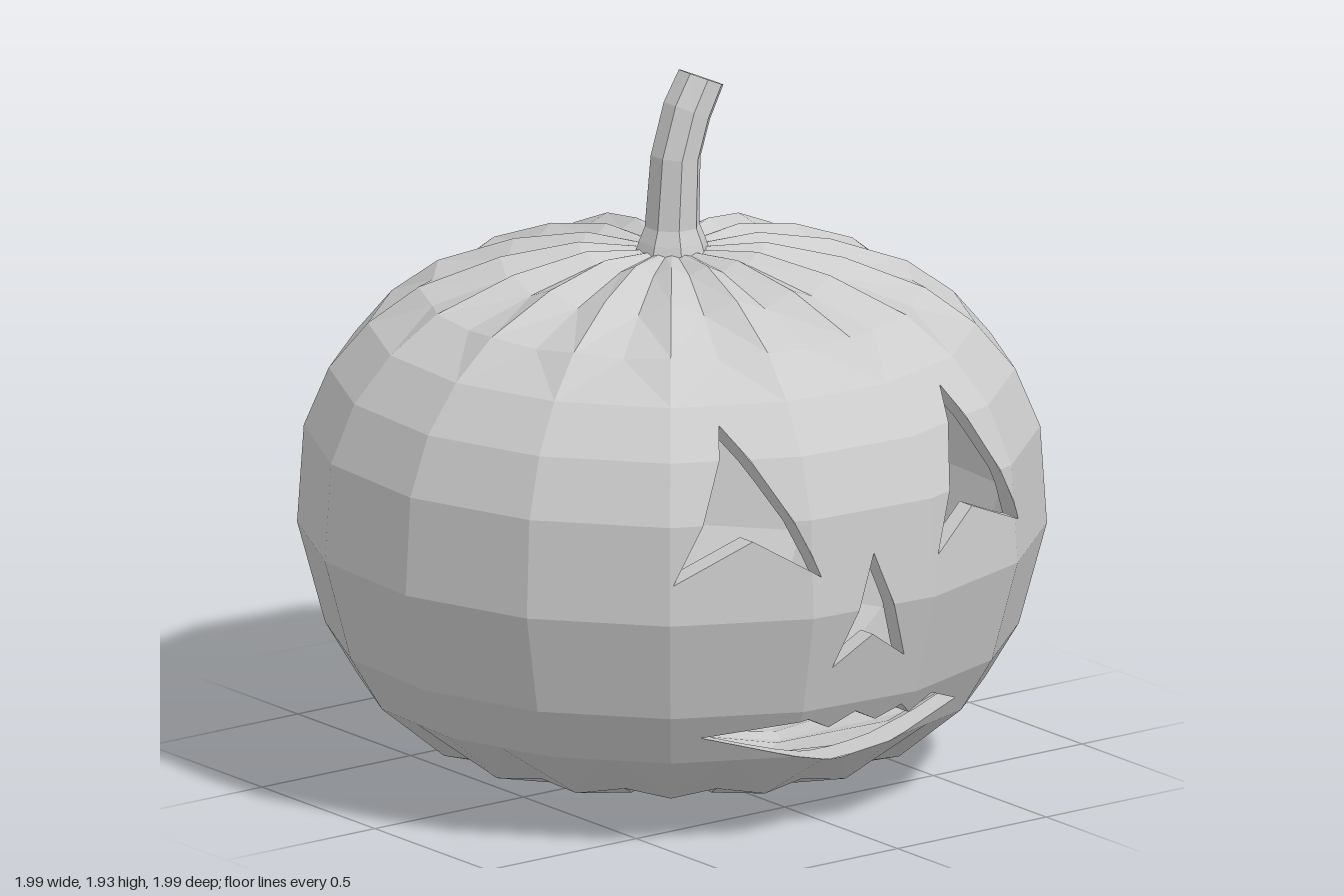
import * as THREE from 'three';

const SIDES = 32; // 16 flat sides, each with a groove vertex at its middle

// Rings from bottom to top: [radius, y, groove radius factor, groove y shift]
const OUTER = [
  [0, 0.03, 1, 0], [0.28, 0, 1, 0.035], [0.66, 0.1, 0.97, 0.015], [0.84, 0.25, 1, 0], [0.93, 0.4, 1, 0],
  [1.005, 0.68, 1, 0], [0.987, 0.95, 1, 0], [0.92, 1.11, 1, 0], [0.815, 1.235, 1, 0],
  [0.68, 1.335, 0.98, -0.015], [0.46, 1.42, 1, -0.035], [0.25, 1.462, 1, -0.025], [0.09, 1.45, 1, -0.005], [0, 1.45, 1, 0],
];
const INNER = [
  [0, 0.09, 1, 0], [0.29, 0.07, 1, 0.01], [0.62, 0.15, 0.97, 0.01], [0.79, 0.28, 1, 0], [0.88, 0.42, 1, 0],
  [0.95, 0.68, 1, 0], [0.935, 0.94, 1, 0], [0.87, 1.08, 1, 0], [0.77, 1.19, 1, 0],
  [0.64, 1.28, 0.98, -0.01], [0.44, 1.36, 1, -0.025], [0.25, 1.395, 1, -0.02], [0, 1.39, 1, 0],
];

// Face openings as [z, y] outlines; the first point sees all the others
const HOLES = {
  leftEye: [[-0.31, 1.19], [-0.53, 0.79], [-0.31, 0.885], [-0.15, 0.79]],
  rightEye: [[0.4, 1.19], [0.6, 0.79], [0.4, 0.9], [0.23, 0.79]],
  nose: [[0.06, 0.83], [0.17, 0.52], [0.055, 0.6], [-0.06, 0.52]],
  mouth: [[0.04, 0.2], [0.465, 0.33], [0.21, 0.37], [0.13, 0.33], [0.06, 0.37],
    [-0.02, 0.33], [-0.09, 0.365], [-0.13, 0.33], [-0.21, 0.37], [-0.355, 0.31]],
};

function ringPoint([r, y, gr, gy], j) {
  const mid = j % 2 === 1;
  const a = THREE.MathUtils.degToRad(15 + j * 11.25);
  const rr = mid ? r * Math.cos(Math.PI / 16) * gr : r;
  return new THREE.Vector3(rr * Math.cos(a), y + (mid ? gy : 0), rr * Math.sin(a));
}

// Triangles of a closed shell of rings
function shellTriangles(rings, inward) {
  const tris = [];
  const add = (a, b, c) => tris.push(inward ? [a, c, b] : [a, b, c]);
  for (let i = 0; i < rings.length - 1; i++) {
    for (let j = 0; j < SIDES; j++) {
      const k = (j + 1) % SIDES;
      const A = ringPoint(rings[i], j), B = ringPoint(rings[i], k);
      const C = ringPoint(rings[i + 1], k), D = ringPoint(rings[i + 1], j);
      if (rings[i][0] === 0) add(A, D, C);
      else if (rings[i + 1][0] === 0) add(A, D, B);
      else if (j % 2) { add(A, D, B); add(B, D, C); }
      else { add(A, D, C); add(A, C, B); }
    }
  }
  return tris;
}

const cross = (p, q, z, y) => (q[0] - p[0]) * (y - p[1]) - (q[1] - p[1]) * (z - p[0]);
const onFace = (t) => t.every((p) => p.x > 0.2);

// Keeps the part of a polygon on one side of a line in the z-y plane
function clip(poly, p, q, sign) {
  const out = [];
  poly.forEach((a, i) => {
    const b = poly[(i + 1) % poly.length];
    const da = sign * cross(p, q, a.z, a.y), db = sign * cross(p, q, b.z, b.y);
    if (da >= 0) out.push(a);
    if (da * db < 0) out.push(a.clone().lerp(b, da / (da - db)));
  });
  return out;
}

// Removes a triangle from a polygon, leaving convex pieces
function subtract(poly, tri) {
  const t = cross(tri[0], tri[1], ...tri[2]) > 0 ? tri : [tri[0], tri[2], tri[1]];
  const pieces = [];
  let rest = poly;
  for (let i = 0; i < 3 && rest.length > 2; i++) {
    const p = t[i], q = t[(i + 1) % 3];
    const outside = clip(rest, p, q, -1);
    if (outside.length > 2) pieces.push(outside);
    rest = clip(rest, p, q, 1);
  }
  return rest.length > 2 ? pieces : [poly];
}

function carve(tris) {
  const cutters = Object.values(HOLES).flatMap((h) =>
    h.slice(1, -1).map((p, i) => [h[0], p, h[i + 2]]));
  return tris.flatMap((t) => {
    if (!onFace(t)) return [t];
    let pieces = [t];
    for (const c of cutters) pieces = pieces.flatMap((p) => subtract(p, c));
    return pieces;
  });
}

// Point of a shell in front of a given z, y
function project(tris, z, y) {
  let best = null, bestMin = -Infinity;
  for (const [a, b, c] of tris) {
    const A = [a.z, a.y], B = [b.z, b.y], C = [c.z, c.y];
    const area = cross(A, B, ...C);
    if (Math.abs(area) < 1e-9) continue;
    const u = cross(B, C, z, y) / area, v = cross(C, A, z, y) / area, w = 1 - u - v;
    const m = Math.min(u, v, w);
    if (m > bestMin) {
      bestMin = m;
      best = new THREE.Vector3(u * a.x + v * b.x + w * c.x, y, z);
    }
  }
  return best;
}

function polygonsToMesh(polys, name, material) {
  const points = [];
  for (const p of polys) for (let i = 1; i < p.length - 1; i++) points.push(p[0], p[i], p[i + 1]);
  const geometry = new THREE.BufferGeometry().setFromPoints(points);
  geometry.computeVertexNormals();
  const mesh = new THREE.Mesh(geometry, material);
  mesh.name = name;
  return mesh;
}

// Bent eight-sided stem: [y, z, radius, tilt]
function stemPolygons() {
  const path = [[1.43, 0, 0.1, 0], [1.47, 0, 0.088, 0], [1.51, 0, 0.072, 0], [1.7, -0.012, 0.066, 0.1],
    [1.82, -0.05, 0.066, 0.45], [1.905, -0.098, 0.063, 0.42]];
  const rings = path.map(([y, z, r, t]) => Array.from({ length: 8 }, (_, j) => {
    const a = (j + 0.5) * Math.PI / 4, s = r * 1.05 * Math.sin(a);
    return new THREE.Vector3(r * 1.05 * Math.cos(a), y + s * Math.sin(t), z + s * Math.cos(t));
  }));
  const polys = [];
  for (let i = 0; i < rings.length - 1; i++) {
    for (let j = 0; j < 8; j++) {
      const k = (j + 1) % 8;
      polys.push([rings[i][j], rings[i + 1][j], rings[i + 1][k], rings[i][k]]);
    }
  }
  polys.push([...rings[rings.length - 1]].reverse());
  return polys;
}

export function createModel() {
  const group = new THREE.Group();
  group.name = 'carvedPumpkin';
  const grey = new THREE.MeshStandardMaterial({ color: 0xcccccc, flatShading: true, side: THREE.DoubleSide });
  grey.name = 'light grey';

  // Skin and hollow inside, both with the face cut out
  const outer = shellTriangles(OUTER, false), inner = shellTriangles(INNER, true);
  group.add(polygonsToMesh(carve(outer), 'skin', grey));
  group.add(polygonsToMesh(carve(inner), 'hollowInside', grey));

  // Cut edges joining the skin to the inside
  const outerFace = outer.filter(onFace), innerFace = inner.filter(onFace);
  const steps = 8;
  for (const [name, hole] of Object.entries(HOLES)) {
    const walls = [];
    hole.forEach((p, i) => {
      const q = hole[(i + 1) % hole.length];
      let last = null;
      for (let s = 0; s <= steps; s++) {
        const z = p[0] + (q[0] - p[0]) * s / steps, y = p[1] + (q[1] - p[1]) * s / steps;
        const pair = [project(outerFace, z, y), project(innerFace, z, y)];
        if (last) walls.push([last[0], pair[0], pair[1], last[1]]);
        last = pair;
      }
    });
    group.add(polygonsToMesh(walls, name + 'CutEdge', grey));
  }

  group.add(polygonsToMesh(stemPolygons(), 'stem', grey));
  return group;
}
